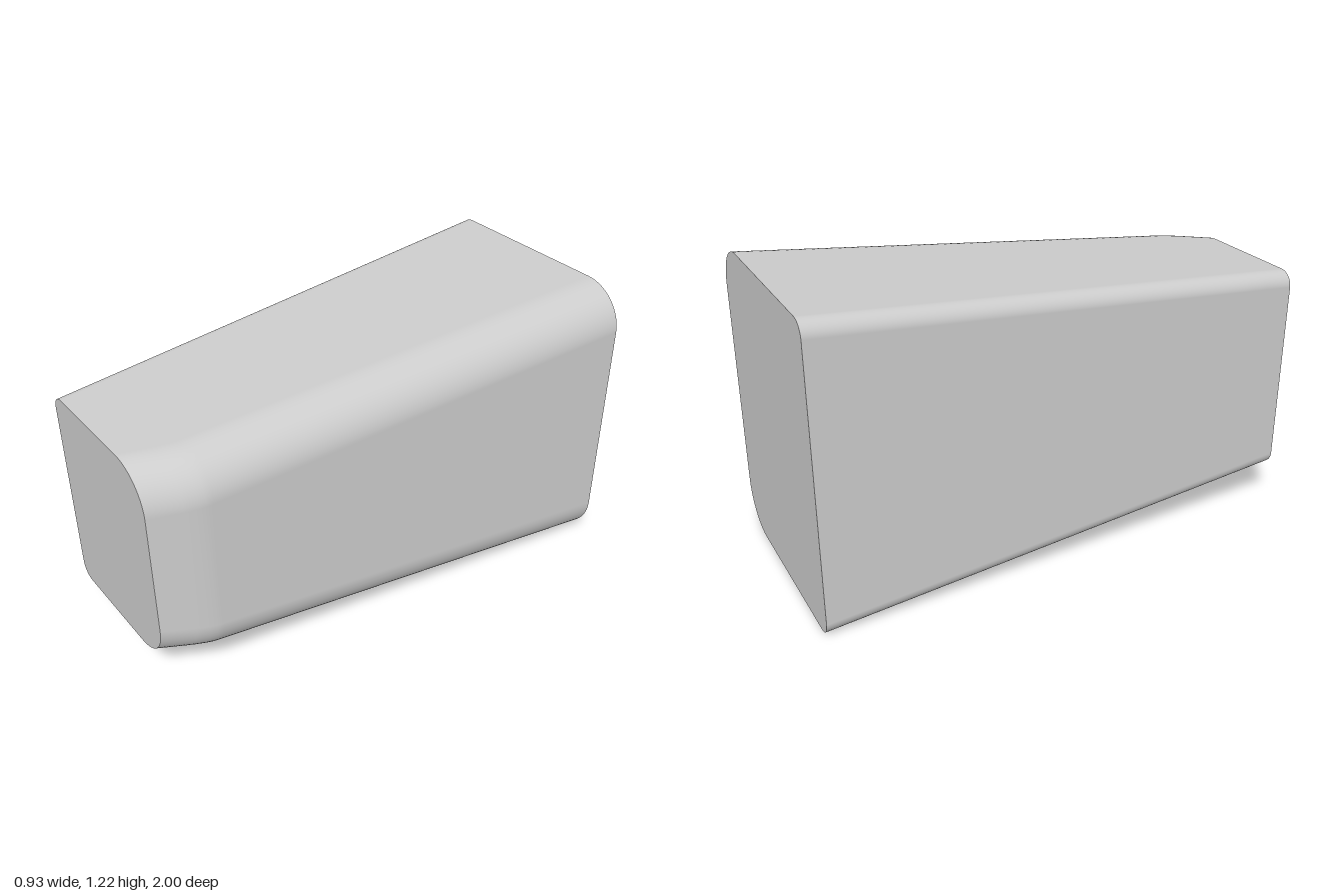
import * as THREE from 'three';

const LEFT = -0.465, MID_Y = 0.614, ARC = 14;

// Lengthwise stations: [z, right edge x]; the nose chamfer is softened near z = 0.82
const stations = [[-1, 0.465], [0.78, 0.277], [0.805, 0.273], [0.83, 0.266], [0.855, 0.257], [0.88, 0.247], [1, 0.193]];

// Rounded cross-section, counter-clockwise seen from the front
function section([z, right]) {
  const half = 0.435 + (1 - z) * 0.0885;
  const big = 0.175 + (1 - z) * 0.003, small = 0.06;
  const corners = [
    [right - big, MID_Y - half + big, big, -Math.PI / 2],
    [right - big, MID_Y + half - big, big, 0],
    [LEFT + small, MID_Y + half - small, small, Math.PI / 2],
    [LEFT + small, MID_Y - half + small, small, Math.PI],
  ];
  const points = [];
  for (const [cx, cy, r, start] of corners) {
    for (let k = 0; k <= ARC; k++) {
      const a = start + (k / ARC) * Math.PI / 2;
      points.push(new THREE.Vector3(cx + r * Math.cos(a), cy + r * Math.sin(a), z));
    }
  }
  return points;
}

// Smooth skin joining the sections
function skin(rings) {
  const n = rings[0].length, index = [];
  for (let i = 0; i < rings.length - 1; i++) {
    for (let j = 0; j < n; j++) {
      const k = (j + 1) % n;
      const a = i * n + j, b = i * n + k, c = (i + 1) * n + k, d = (i + 1) * n + j;
      index.push(a, b, c, a, c, d);
    }
  }
  const geometry = new THREE.BufferGeometry().setFromPoints(rings.flat());
  geometry.setIndex(index);
  geometry.computeVertexNormals();
  return geometry;
}

// Flat end plate
function cap(ring, front) {
  const n = ring.length, index = [];
  for (let j = 1; j < n - 1; j++) index.push(0, front ? j : j + 1, front ? j + 1 : j);
  const geometry = new THREE.BufferGeometry().setFromPoints(ring);
  geometry.setIndex(index);
  geometry.computeVertexNormals();
  return geometry;
}

export function createModel() {
  const group = new THREE.Group();
  group.name = 'taperedBlock';
  const grey = new THREE.MeshStandardMaterial({ color: 0xcccccc });
  grey.name = 'light grey';

  const rings = stations.map(section);
  const add = (name, geometry) => {
    const mesh = new THREE.Mesh(geometry, grey);
    mesh.name = name;
    group.add(mesh);
  };
  add('taperedBody', skin(rings));
  add('frontFace', cap(rings[rings.length - 1], true));
  add('backFace', cap(rings[0], false));
  return group;
}
